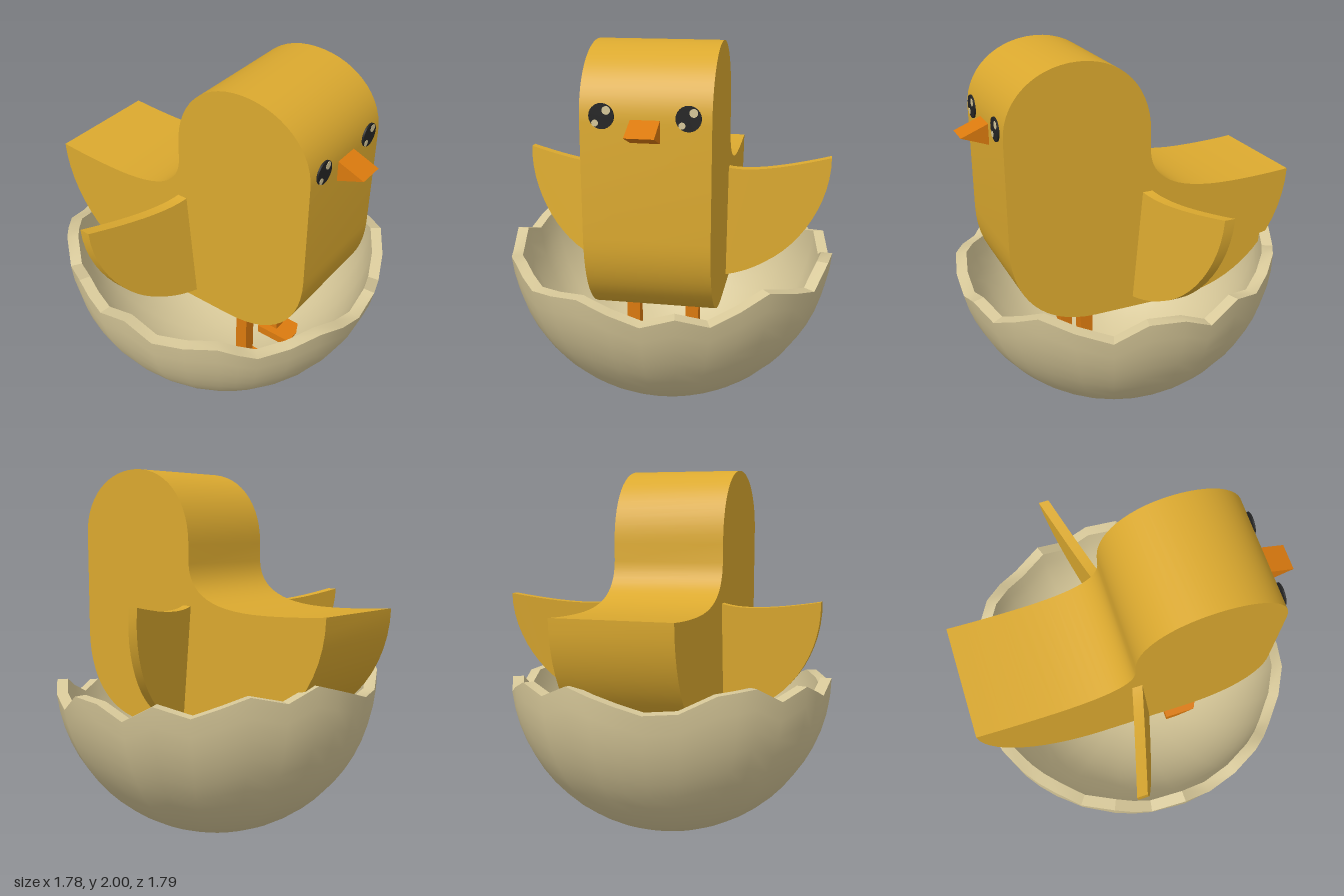
import * as THREE from 'three';
import { toCreasedNormals, mergeVertices } from 'three/addons/utils/BufferGeometryUtils.js';

const mat = (name, color, side = THREE.FrontSide) => {
  const m = new THREE.MeshStandardMaterial({ color, side });
  m.name = name;
  return m;
};

// Rim of the broken shell: [degrees from the front towards +x, height]
const RIM = [
  [0, 0.72], [11, 0.77], [22, 0.72], [42, 0.85], [66, 0.75], [77, 0.85], [89, 0.84],
  [99, 0.77], [110, 0.86], [122, 0.81], [140, 0.91], [152, 0.87], [163, 0.94], [189, 0.83],
  [200, 0.84], [212, 0.92], [225, 0.94], [235, 0.86], [247, 0.91], [260, 0.83],
  [272, 0.89], [282, 0.81], [304, 0.85], [317, 0.77], [339, 0.82], [360, 0.72],
];

// Columns: every rim corner, with one column between wide corners
function rimColumns() {
  const cols = [];
  for (let i = 0; i < RIM.length - 1; i++) {
    const [a, h] = RIM[i], [b, k] = RIM[i + 1];
    const n = Math.ceil((b - a) / 12);
    for (let j = 0; j < n; j++) cols.push([a + (b - a) * j / n, h + (k - h) * j / n]);
  }
  cols.push(RIM[RIM.length - 1]);
  return cols;
}

// Hollow bowl: outer wall upwards, across the rim, inner wall downwards
function shellGeometry(outer, inner, cy, rows) {
  const cols = rimColumns(), pos = [], idx = [];
  const across = 2 * rows + 2;
  for (const [deg, h] of cols) {
    const t = THREE.MathUtils.degToRad(deg);
    const end = Math.PI - Math.acos((h - cy) / outer);
    for (let k = 0; k < across; k++) {
      const isOuter = k <= rows;
      const r = isOuter ? outer : inner;
      const a = end * (isOuter ? k : across - 1 - k) / rows;
      pos.push(Math.sin(t) * Math.sin(a) * r, cy - Math.cos(a) * r, Math.cos(t) * Math.sin(a) * r);
    }
  }
  for (let i = 0; i < cols.length - 1; i++) {
    for (let k = 0; k < across - 1; k++) {
      const a = i * across + k, b = a + across;
      if (k !== 0) idx.push(a, b, a + 1);
      if (k !== across - 2) idx.push(b, b + 1, a + 1);
    }
  }
  const g = new THREE.BufferGeometry();
  g.setAttribute('position', new THREE.Float32BufferAttribute(pos, 3));
  g.setIndex(idx);
  return toCreasedNormals(mergeVertices(g), 0.6);
}

// Side profile drawn in (z, y), extruded across x and centred
function sideExtrude(shape, width) {
  const g = new THREE.ExtrudeGeometry(shape, { depth: width, bevelEnabled: false, curveSegments: 14 });
  g.rotateY(-Math.PI / 2);
  g.translate(width / 2, 0, 0);
  return toCreasedNormals(g, 0.5);
}

function bodyShape() {
  const s = new THREE.Shape();
  s.moveTo(0.71, 1.09);
  s.lineTo(0.71, 1.66);
  s.bezierCurveTo(0.71, 1.86, 0.54, 2, 0.325, 2);
  s.bezierCurveTo(0.1, 2, -0.06, 1.84, -0.06, 1.6);
  s.lineTo(-0.06, 1.5);
  s.bezierCurveTo(-0.07, 1.34, -0.22, 1.26, -0.55, 1.26);
  s.quadraticCurveTo(-0.73, 1.26, -0.905, 1.275);
  s.bezierCurveTo(-0.9, 0.92, -0.62, 0.62, -0.25, 0.62);
  s.lineTo(0.25, 0.62);
  s.bezierCurveTo(0.55, 0.62, 0.71, 0.82, 0.71, 1.09);
  return s;
}

// Thin wing, swept back towards the tip and leaning forward at the bottom
function wingGeometry(side) {
  const s = new THREE.Shape();
  s.moveTo(side * 0.3, 1.285);
  s.bezierCurveTo(side * 0.4, 1.255, side * 0.58, 1.265, side * 0.86, 1.32);
  s.bezierCurveTo(side * 0.87, 1.08, side * 0.72, 0.84, side * 0.53, 0.75);
  s.quadraticCurveTo(side * 0.42, 0.69, side * 0.3, 0.68);
  const g = new THREE.ExtrudeGeometry(s, { depth: 0.055, bevelEnabled: false, curveSegments: 12 });
  const p = g.attributes.position;
  for (let i = 0; i < p.count; i++) {
    const out = Math.abs(p.getX(i)) - 0.31, drop = 1.29 - p.getY(i);
    p.setZ(i, p.getZ(i) - 0.075 - 0.28 * out + 0.09 * drop);
  }
  return toCreasedNormals(g, 0.5);
}

export function createModel() {
  const yellow = mat('yellow', 0xdba92f);
  const orange = mat('orange', 0xdb7a0e);
  const cream = mat('cream', 0xd6c798, THREE.DoubleSide);
  const black = mat('black', 0x242424);
  const model = new THREE.Group();
  model.name = 'hatchling';
  const add = (name, geometry, material, x = 0, y = 0, z = 0, parent = model) => {
    const m = new THREE.Mesh(geometry, material);
    m.name = name;
    m.position.set(x, y, z);
    parent.add(m);
    return m;
  };

  add('eggShell', shellGeometry(0.89, 0.83, 0.89, 14), cream, 0, 0, 0.01);
  add('body', sideExtrude(bodyShape(), 0.62), yellow);

  // Wedge beak
  const beak = new THREE.Shape();
  beak.moveTo(0.7, 1.68);
  beak.lineTo(0.85, 1.62);
  beak.lineTo(0.7, 1.565);
  add('beak', sideExtrude(beak, 0.14), orange);

  // Paired parts
  const disc = (r, depth) => new THREE.CylinderGeometry(r, r, depth, 24).rotateX(Math.PI / 2);
  for (const side of [-1, 1]) {
    const label = side > 0 ? 'left' : 'right';
    add(label + 'Wing', wingGeometry(side), yellow);

    const eye = new THREE.Group();
    eye.name = label + 'Eye';
    eye.position.set(side * 0.203, 1.69, 0.714);
    model.add(eye);
    add('pupil', disc(0.06, 0.009), black, 0, 0, 0, eye);
    add('largeGlint', disc(0.02, 0.004), cream, 0.024, 0.028, 0.0045, eye);
    add('smallGlint', disc(0.016, 0.004), cream, -0.03, -0.032, 0.0045, eye);

    // Legs and feet inside the shell
    add(label + 'Leg', new THREE.BoxGeometry(0.07, 0.5, 0.07), orange, side * 0.16, 0.39, 0.26);
    add(label + 'Foot', new THREE.BoxGeometry(0.16, 0.05, 0.22), orange, side * 0.16, 0.16, 0.3);
  }
  return model;
}
